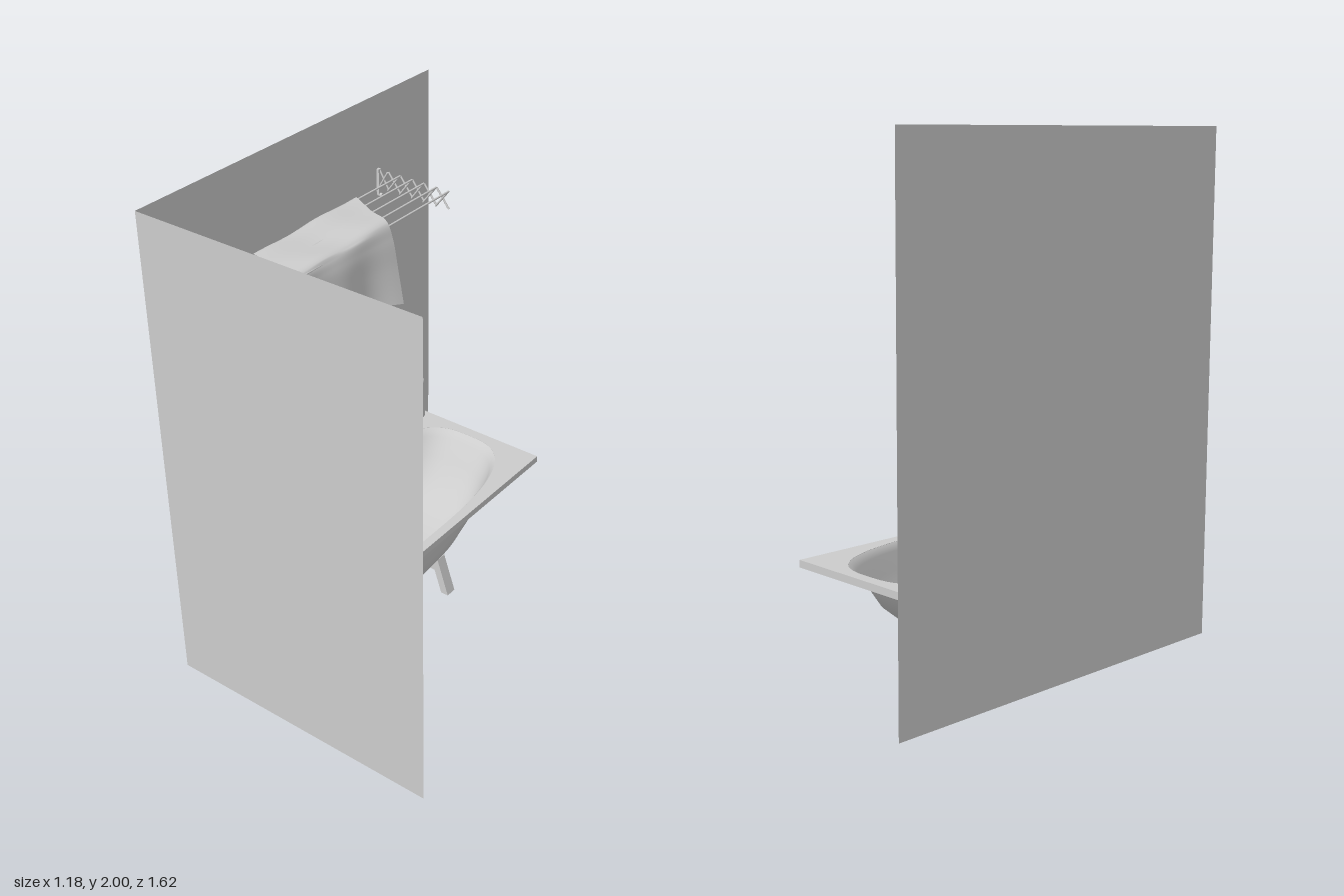
import * as THREE from 'three';

const grey = new THREE.MeshStandardMaterial({ color: 0xcccccc, side: THREE.DoubleSide });
grey.name = 'plainGrey';
const V = (x, y, z) => new THREE.Vector3(x, y, z);
const CX = -0.25; // centre line of the tub

function add(parent, name, geo, x = 0, y = 0, z = 0) {
  const m = new THREE.Mesh(geo, grey);
  m.name = name;
  m.position.set(x, y, z);
  parent.add(m);
  return m;
}

function group(parent, name) {
  const g = new THREE.Group();
  g.name = name;
  parent.add(g);
  return g;
}

// Straight round bar between two points, optionally tapered or square
function bar(parent, name, a, b, r, r2 = r, sides = 12) {
  const d = b.clone().sub(a);
  const m = add(parent, name, new THREE.CylinderGeometry(r2, r, d.length(), sides));
  m.position.copy(a).addScaledVector(d, 0.5);
  m.quaternion.setFromUnitVectors(V(0, 1, 0), d.normalize());
  return m;
}

function pipe(parent, name, pts, r, tension = 0.5, seg = 48) {
  const curve = new THREE.CatmullRomCurve3(pts, false, 'catmullrom', tension);
  return add(parent, name, new THREE.TubeGeometry(curve, seg, r, 12));
}

// Surface through rows of points
function loft(rows, closed) {
  const n = rows[0].length, pos = [], idx = [];
  rows.forEach(row => row.forEach(p => pos.push(p.x, p.y, p.z)));
  for (let i = 0; i < rows.length - 1; i++) {
    for (let j = 0; j < (closed ? n : n - 1); j++) {
      const k = (j + 1) % n, a = i * n + j, b = i * n + k, c = a + n, d = b + n;
      idx.push(a, b, c, b, d, c);
    }
  }
  const g = new THREE.BufferGeometry();
  g.setAttribute('position', new THREE.Float32BufferAttribute(pos, 3));
  g.setIndex(idx);
  g.computeVertexNormals();
  return g;
}

function lathe(pts) {
  return new THREE.LatheGeometry(pts.map(p => new THREE.Vector2(p[0], p[1])), 28);
}

// Rounded oval used for the basin sections
function oval(y, half, zMin, zMax, n = 3) {
  const out = [], mid = (zMin + zMax) / 2, len = (zMax - zMin) / 2;
  const f = v => Math.sign(v) * Math.pow(Math.abs(v), 2 / n);
  for (let i = 0; i < 72; i++) {
    const t = i / 72 * Math.PI * 2;
    out.push(V(CX + half * f(Math.cos(t)), y, mid + len * f(Math.sin(t))));
  }
  return out;
}

function buildTub(root) {
  const g = group(root, 'bathtub');
  const sections = [ // y, half width, back end, front end
    [0.459, 0.292, -0.645, 0.765], [0.448, 0.284, -0.63, 0.75], [0.43, 0.28, -0.612, 0.738],
    [0.36, 0.272, -0.555, 0.724], [0.29, 0.26, -0.505, 0.7], [0.23, 0.243, -0.43, 0.66],
    [0.185, 0.215, -0.345, 0.6], [0.155, 0.175, -0.255, 0.52], [0.14, 0.13, -0.17, 0.43],
    [0.133, 0.07, -0.04, 0.3], [0.131, 0.001, 0.13, 0.135]];
  add(g, 'basin', loft(sections.map(s => oval(...s)), true));

  // Flat rim with a skirt round its edge
  const rect = (cls, i) => new cls([[-0.58 + i, -0.69 + i], [0.08 - i, -0.69 + i],
    [0.08 - i, 0.8 - i], [-0.58 + i, 0.8 - i]].map(p => new THREE.Vector2(p[0], -p[1])));
  const slab = (name, hole, depth, y) => {
    const s = rect(THREE.Shape, 0);
    s.holes.push(hole);
    const geo = new THREE.ExtrudeGeometry(s, { depth, bevelEnabled: false });
    add(g, name, geo.rotateX(-Math.PI / 2), 0, y, 0);
  };
  slab('rim', new THREE.Path(oval(0, 0.292, -0.645, 0.765).map(p => new THREE.Vector2(p.x, -p.z))), 0.008, 0.452);
  slab('rimSkirt', rect(THREE.Path, 0.01), 0.026, 0.432);

  // Two stands with splayed legs
  for (const z of [0.43, -0.185]) {
    add(g, 'crossBeam', new THREE.BoxGeometry(0.4, 0.03, 0.035), CX, 0.115, z);
    for (const s of [-1, 1]) {
      const leg = new THREE.BoxGeometry(0.035, 0.165, 0.048);
      const p = leg.attributes.position;
      for (let i = 0; i < p.count; i++) p.setX(i, p.getX(i) - s * p.getY(i) * 0.33);
      leg.computeVertexNormals();
      add(g, 'leg', leg, CX + s * 0.2, 0.0825, z);
    }
  }

  // Waste and overflow pipes
  add(g, 'wasteCollar', new THREE.CylinderGeometry(0.03, 0.03, 0.025, 20), CX, 0.12, 0.53);
  pipe(g, 'wastePipe', [V(CX, 0.13, 0.53), V(CX, 0.09, 0.53), V(CX, 0.068, 0.552), V(CX, 0.065, 0.6),
    V(CX, 0.065, 0.805)], 0.018);
  pipe(g, 'overflowPipe', [V(CX, 0.385, 0.71), V(CX, 0.385, 0.755), V(CX, 0.37, 0.775), V(CX, 0.33, 0.778),
    V(CX, 0.07, 0.778)], 0.016);
  bar(g, 'overflowCollar', V(CX, 0.385, 0.715), V(CX, 0.385, 0.745), 0.026);
}

function buildTap(root) {
  const g = group(root, 'tapAndShower');
  bar(g, 'tapBody', V(-0.32, 0.735, 0.765), V(-0.18, 0.735, 0.765), 0.018);
  for (const x of [-0.32, -0.18]) {
    bar(g, 'wallPlate', V(x, 0.735, 0.808), V(x, 0.735, 0.795), 0.032, 0.028, 20);
    bar(g, 'tapStem', V(x, 0.735, 0.8), V(x, 0.735, 0.725), 0.016);
    bar(g, 'tapHandle', V(x, 0.735, 0.73), V(x, 0.735, 0.695), 0.016, 0.024);
  }
  bar(g, 'tapCentre', V(CX, 0.76, 0.762), V(CX, 0.65, 0.762), 0.022);
  pipe(g, 'spout', [V(CX, 0.69, 0.762), V(CX, 0.688, 0.7), V(CX, 0.682, 0.56), V(CX, 0.675, 0.522),
    V(CX, 0.655, 0.512), V(CX, 0.632, 0.512)], 0.01);
  bar(g, 'spoutTip', V(CX, 0.65, 0.512), V(CX, 0.63, 0.512), 0.014);
  // Curved cradle above the tap
  pipe(g, 'cradle', [V(-0.31, 0.77, 0.755), V(-0.29, 0.805, 0.755), V(CX, 0.82, 0.755), V(-0.21, 0.805, 0.755),
    V(-0.19, 0.77, 0.755)], 0.006);
  bar(g, 'cradlePost', V(CX, 0.75, 0.76), V(CX, 0.82, 0.755), 0.008);
  pipe(g, 'hose', [V(CX, 1.42, 0.785), V(-0.27, 1.2, 0.775), V(-0.33, 0.95, 0.755), V(-0.365, 0.78, 0.745),
    V(-0.33, 0.65, 0.74), V(-0.28, 0.615, 0.745), V(CX, 0.66, 0.76)], 0.006);
  bar(g, 'showerHolder', V(CX, 1.425, 0.808), V(CX, 1.425, 0.775), 0.022);
  bar(g, 'showerHandle', V(CX, 1.4, 0.787), V(CX, 1.57, 0.765), 0.009, 0.012);
  bar(g, 'showerHead', V(CX, 1.582, 0.77), V(CX, 1.574, 0.745), 0.018, 0.035, 24);
}

function buildRack(root) {
  const g = group(root, 'dryingRack');
  const xs = [-0.476, -0.417, -0.36, -0.3, -0.24], top = 1.692, low = 1.615, ends = [-0.468, 0.552];
  for (const x of xs) bar(g, 'rail', V(x, top, ends[0]), V(x, top, ends[1]), 0.004, 0.004, 8);
  for (const z of ends) {
    // Folding scissor arms
    const nodes = [-0.58, -0.535, ...xs];
    for (let i = 0; i < nodes.length - 1; i++) {
      const a = nodes[i], b = nodes[i + 1];
      bar(g, 'scissorArm', V(a, top, z - 0.003), V(b, low, z - 0.003), 0.004, 0.004, 6);
      bar(g, 'scissorArm', V(a, low, z + 0.003), V(b, top, z + 0.003), 0.004, 0.004, 6);
    }
    add(g, 'wallBracket', new THREE.BoxGeometry(0.012, 0.11, 0.016), -0.582, 1.64, z);
    bar(g, 'hook', V(-0.585, 1.585, z), V(-0.565, 1.585, z), 0.008);
  }
}

function buildTowel(root) {
  // Back edge and front edge of the cloth, from the long hem over the rails to the short hem
  const back = new THREE.CatmullRomCurve3([V(-0.4, 1.15, -0.21), V(-0.42, 1.42, -0.228), V(-0.47, 1.64, -0.21),
    V(-0.48, 1.702, -0.195), V(-0.36, 1.702, -0.14), V(-0.245, 1.708, -0.09), V(-0.215, 1.65, -0.085),
    V(-0.185, 1.54, -0.075), V(-0.15, 1.41, -0.062)], false, 'centripetal');
  const front = new THREE.CatmullRomCurve3([V(-0.47, 1.02, 0.17), V(-0.49, 1.34, 0.27), V(-0.49, 1.64, 0.365),
    V(-0.48, 1.7, 0.383), V(-0.36, 1.698, 0.42), V(-0.245, 1.7, 0.44), V(-0.232, 1.66, 0.448),
    V(-0.24, 1.6, 0.46), V(-0.262, 1.525, 0.472)], false, 'centripetal');
  const rows = [], n = 64, m = 28;
  for (let i = 0; i <= n; i++) {
    const u = i / n, a = back.getPoint(u), b = front.getPoint(u), row = [];
    const hang = Math.max(0, 0.35 - u) / 0.35, drop = Math.max(0, u - 0.65) / 0.35;
    for (let j = 0; j <= m; j++) {
      const v = j / m, p = a.clone().lerp(b, v), pin = Math.sin(v * Math.PI);
      p.x += hang * 0.035 * Math.sin(v * 11) * pin - drop * 0.022 * Math.sin(v * 8) * pin;
      if (u > 0.35 && u < 0.65) p.y += 0.005 * Math.sin(v * 9 + u * 12) * pin;
      row.push(p);
    }
    rows.push(row);
  }
  add(root, 'towel', loft(rows, false));
}

function buildBottles(root) {
  const g = group(root, 'bottles'), y = 0.46;
  const flat = add(g, 'shampooBottle', lathe([[0, 0], [0.033, 0], [0.036, 0.01], [0.034, 0.09], [0.028, 0.155],
    [0.026, 0.165], [0.026, 0.17], [0.029, 0.172], [0.029, 0.193], [0, 0.195]]), -0.515, y, -0.632);
  flat.scale.x = 0.55;
  flat.rotation.y = -0.35;
  const pump = (name, profile, x, z, neck, turn) => {
    const p = group(g, name);
    p.position.set(x, y, z);
    p.rotation.y = turn;
    add(p, 'bottleBody', lathe(profile));
    bar(p, 'pumpNeck', V(0, neck, 0), V(0, neck + 0.05, 0), 0.008);
    bar(p, 'pumpHead', V(0, neck + 0.045, 0), V(0, neck + 0.06, 0), 0.013);
    bar(p, 'pumpNozzle', V(0, neck + 0.052, 0), V(0, neck + 0.046, -0.035), 0.006, 0.004);
  };
  pump('soapBottle', [[0, 0], [0.031, 0], [0.033, 0.005], [0.033, 0.115], [0.028, 0.13], [0.014, 0.137],
    [0.014, 0.15], [0, 0.15]], -0.49, 0.742, 0.14, 1.2);
  pump('lotionBottle', [[0, 0], [0.024, 0], [0.026, 0.005], [0.034, 0.14], [0.032, 0.147], [0.014, 0.152],
    [0.014, 0.163], [0, 0.163]], -0.538, 0.672, 0.15, -0.6);
}

export function createModel() {
  const root = new THREE.Group();
  root.name = 'bathroomCorner';
  // Two thin walls meeting in a corner
  add(root, 'endWall', new THREE.PlaneGeometry(1.18, 2), 0, 1, 0.809);
  add(root, 'sideWall', new THREE.PlaneGeometry(1.618, 2), -0.59, 1, 0).rotation.y = Math.PI / 2;
  buildTub(root);
  buildTap(root);
  buildRack(root);
  buildTowel(root);
  buildBottles(root);
  return root;
}
